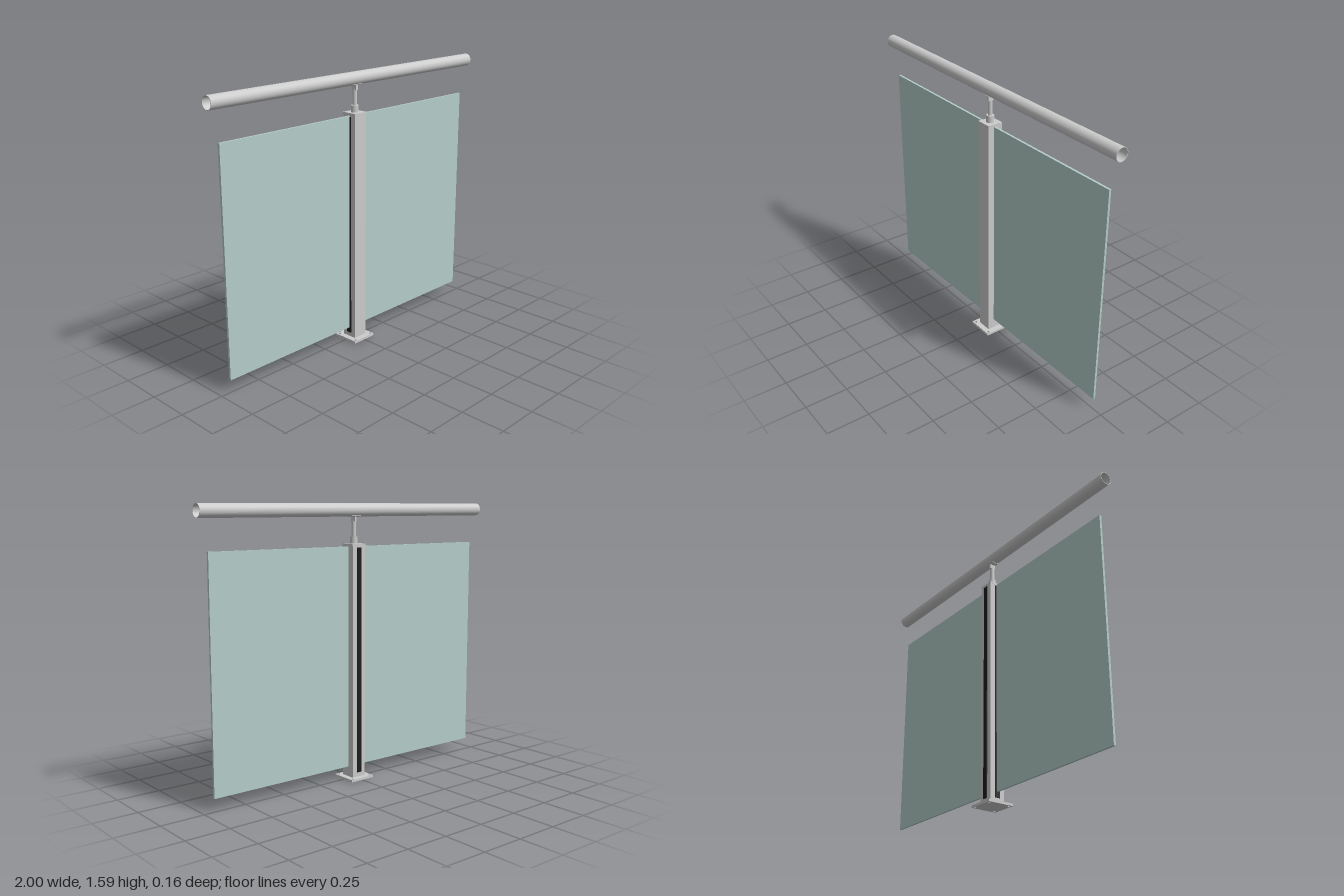
import * as THREE from 'three';

const metal = new THREE.MeshStandardMaterial({ color: 0xcccccc });
const glass = new THREE.MeshStandardMaterial({ color: 0xb4cdca });
const rubber = new THREE.MeshStandardMaterial({ color: 0x1c1c1c });

const RAIL_Y = 1.553, RAIL_R = 0.037;

export function createModel() {
  const model = new THREE.Group();
  model.name = 'glassRailing';

  function add(name, geometry, material, x = 0, y = 0, z = 0) {
    const mesh = new THREE.Mesh(geometry, material);
    mesh.name = name;
    mesh.position.set(x, y, z);
    model.add(mesh);
    return mesh;
  }
  // Box placed by its bottom and top heights
  const block = (name, w, d, y0, y1, material, x = 0, z = 0) =>
    add(name, new THREE.BoxGeometry(w, y1 - y0, d), material, x, (y0 + y1) / 2, z);
  const circle = (r) => new THREE.Path().absarc(0, 0, r, 0, Math.PI * 2, true);

  // Base plate with four bolt holes
  const s = 0.079;
  const plate = new THREE.Shape([[-s, -s], [s, -s], [s, s], [-s, s]].map(p => new THREE.Vector2(...p)));
  for (const x of [-0.064, 0.064]) for (const y of [-0.064, 0.064])
    plate.holes.push(new THREE.Path().absarc(x, y, 0.009, 0, Math.PI * 2, true));
  const plateGeometry = new THREE.ExtrudeGeometry(plate, { depth: 0.014, bevelEnabled: false, curveSegments: 10 });
  add('basePlate', plateGeometry.rotateX(-Math.PI / 2), metal);

  // Square post with its cap
  block('post', 0.09, 0.09, 0.014, 1.355, metal);
  block('postCap', 0.092, 0.092, 1.355, 1.366, metal);

  // Rubber strips on the back and one side of the post
  block('backStrip', 0.03, 0.01, 0.04, 1.345, rubber, 0, -0.045);
  block('sideStrip', 0.01, 0.03, 0.04, 1.345, rubber, -0.045, 0);

  // Glass panels on both sides
  for (const [name, side] of [['leftGlass', 1], ['rightGlass', -1]])
    block(name, 0.902, 0.013, 0.073, 1.35, glass, side * 0.491);

  // Collar and stem that carry the handrail
  add('collar', new THREE.CylinderGeometry(0.022, 0.022, 0.039, 32), metal, 0, 1.3855);
  add('stem', new THREE.CylinderGeometry(0.0125, 0.0125, 0.09, 32), metal, 0, 1.449);
  block('stemHead', 0.014, 0.034, 1.488, 1.52, metal);

  // Curved saddle hugging the underside of the rail
  const saddle = new THREE.Shape();
  const from = Math.PI * 1.29, to = Math.PI * 1.71;
  saddle.absarc(0, 0, RAIL_R + 0.003, from, to, false);
  saddle.absarc(0, 0, RAIL_R - 0.001, to, from, true);
  const saddleGeometry = new THREE.ExtrudeGeometry(saddle, { depth: 0.065, bevelEnabled: false, curveSegments: 14 });
  saddleGeometry.translate(0, 0, -0.0325).rotateY(Math.PI / 2);
  add('saddle', saddleGeometry, metal, 0, RAIL_Y);

  // Hollow handrail, open at both ends
  const ring = new THREE.Shape().absarc(0, 0, RAIL_R, 0, Math.PI * 2, false);
  ring.holes.push(circle(RAIL_R - 0.003));
  const railGeometry = new THREE.ExtrudeGeometry(ring, { depth: 2, bevelEnabled: false, curveSegments: 48 });
  railGeometry.translate(0, 0, -1).rotateY(Math.PI / 2);
  add('handrail', railGeometry, metal, 0, RAIL_Y);

  return model;
}
